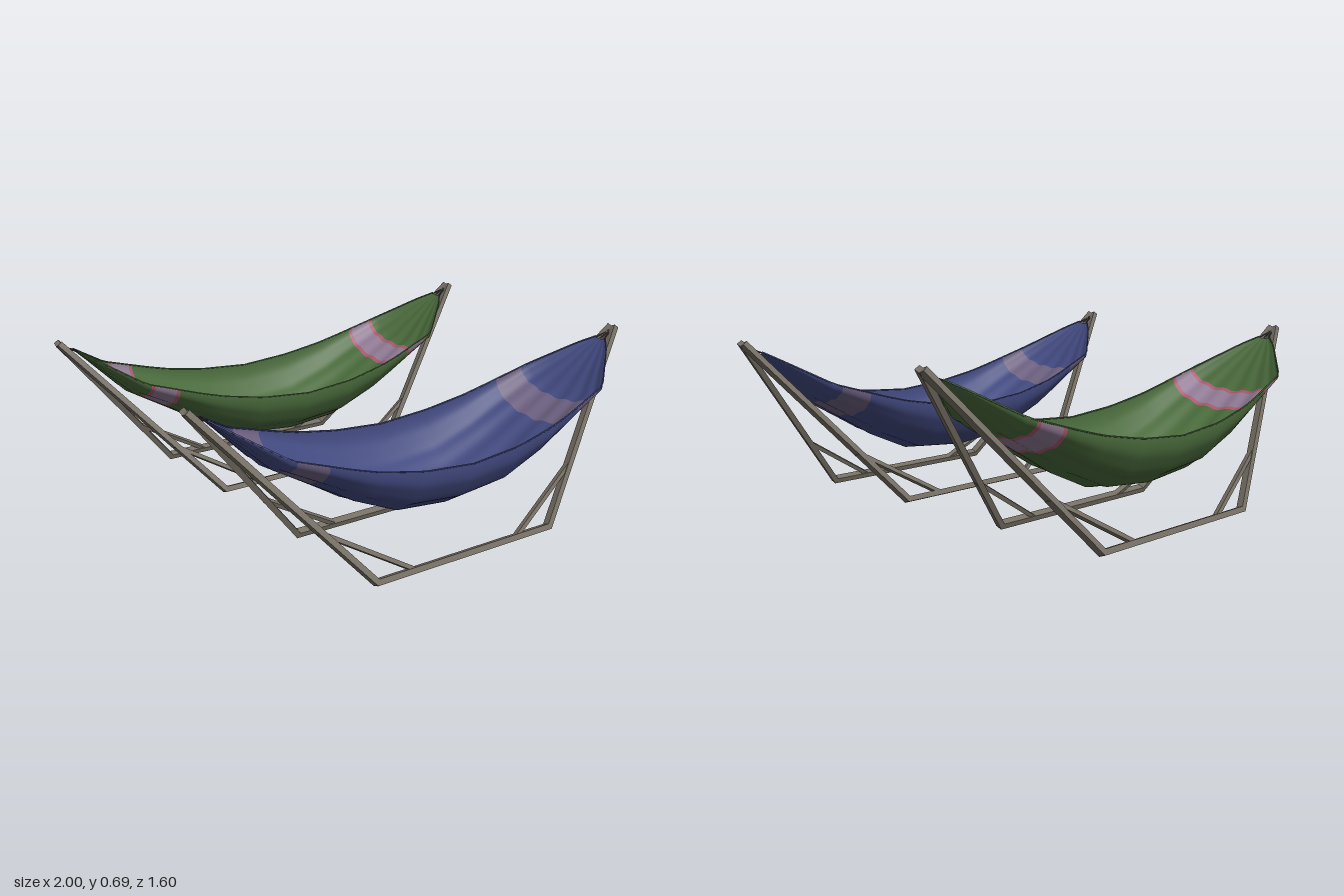
import * as THREE from 'three';

const mat = (name, color, side = THREE.FrontSide) => {
  const m = new THREE.MeshStandardMaterial({ color, side });
  m.name = name;
  return m;
};

// Cloth stations: |x|, half width, rim height, belly height
const STATIONS = [
  [0, 0.272, 0.37, 0.155], [0.22, 0.267, 0.387, 0.175], [0.4, 0.252, 0.42, 0.255],
  [0.5, 0.24, 0.447, 0.315], [0.72, 0.205, 0.515, 0.442], [0.87, 0.08, 0.608, 0.587],
  [0.92, 0.025, 0.64, 0.632],
];

function section(x) {
  const a = Math.abs(x);
  let i = 0;
  while (i < STATIONS.length - 2 && a > STATIONS[i + 1][0]) i++;
  const p = STATIONS[i], q = STATIONS[i + 1];
  const t = (a - p[0]) / (q[0] - p[0]);
  return [1, 2, 3].map(k => p[k] + (q[k] - p[k]) * t);
}

// Rows along x; the third value is the material used up to the next row
const ROWS = [
  [-0.92, 0], [-0.87, 0], [-0.79, 0], [-0.72, 0], [-0.70, 1], [-0.685, 2], [-0.6, 1], [-0.585, 0],
  [-0.5, 0], [-0.4, 0], [-0.22, 0], [-0.1, 0], [0, 0], [0.1, 0], [0.22, 0], [0.4, 0], [0.5, 0],
  [0.565, 1], [0.58, 2], [0.67, 1], [0.685, 0], [0.72, 0], [0.79, 0], [0.87, 0], [0.92, 0],
];

function clothGeometry() {
  const cols = 48, pos = [], index = [];
  const geo = new THREE.BufferGeometry();
  for (const [x] of ROWS) {
    const [half, rim, belly] = section(x);
    for (let j = 0; j <= cols; j++) {
      const a = Math.PI * (1 - j / cols);
      // shallow lengthwise folds in the belly
      const fold = 0.02 * half * Math.cos(14 * a) * Math.sin(a);
      pos.push(x, rim - (rim - belly) * Math.sin(a) + fold, half * Math.cos(a));
    }
  }
  for (let i = 0; i < ROWS.length - 1; i++) {
    geo.addGroup(index.length, cols * 6, ROWS[i][1]);
    for (let j = 0; j < cols; j++) {
      const a = i * (cols + 1) + j, c = a + cols + 1;
      index.push(a, a + 1, c, a + 1, c + 1, c);
    }
  }
  geo.setAttribute('position', new THREE.Float32BufferAttribute(pos, 3));
  geo.setIndex(index);
  geo.computeVertexNormals();
  return geo;
}

// Flat bar between two points of a side frame
function bar(name, x0, y0, x1, y1, height, depth, material) {
  const mesh = new THREE.Mesh(
    new THREE.BoxGeometry(Math.hypot(x1 - x0, y1 - y0), height, depth), material);
  mesh.position.set((x0 + x1) / 2, (y0 + y1) / 2, 0);
  mesh.rotation.z = Math.atan2(y1 - y0, x1 - x0);
  mesh.name = name;
  return mesh;
}

// Round cord or pin between two points
function rod(name, a, b, radius, material) {
  const mesh = new THREE.Mesh(
    new THREE.TubeGeometry(new THREE.LineCurve3(a, b), 1, radius, 8), material);
  mesh.name = name;
  return mesh;
}

function sideFrame(side, metal) {
  const g = new THREE.Group();
  g.name = side > 0 ? 'frontSideFrame' : 'backSideFrame';
  g.add(bar('groundBar', -0.418, 0, 0.418, 0, 0.022, 0.03, metal));
  for (const s of [-1, 1]) {
    g.add(bar('leg', s * 0.41, -0.002, s * 0.989, 0.704, 0.022, 0.03, metal));
    g.add(bar('brace', s * 0.24, 0, s * 0.6, 0.222, 0.016, 0.022, metal));
  }
  // lean the frame in so both sides meet at the top
  g.position.set(0, 0.0155, side * 0.252);
  g.rotation.x = -side * 0.356;
  return g;
}

function hammock(name, z, clothMats, metal, cord) {
  const g = new THREE.Group();
  g.name = name;
  g.add(sideFrame(1, metal), sideFrame(-1, metal));

  const cloth = new THREE.Mesh(clothGeometry(), clothMats);
  cloth.name = 'cloth';
  g.add(cloth);

  // hems along both rims
  for (const s of [-1, 1]) {
    const path = new THREE.CurvePath();
    const pts = ROWS.map(([x]) => {
      const [half, rim] = section(x);
      return new THREE.Vector3(x, rim, s * half);
    });
    for (let i = 1; i < pts.length; i++) path.add(new THREE.LineCurve3(pts[i - 1], pts[i]));
    const hem = new THREE.Mesh(new THREE.TubeGeometry(path, 60, 0.003, 6), clothMats[0]);
    hem.name = 'hem';
    g.add(hem);
  }

  // pins and hanging cords at both ends
  for (const s of [-1, 1]) {
    const x = s * 0.968, y = 0.658;
    g.add(rod('pin', new THREE.Vector3(x, y, -0.025), new THREE.Vector3(x, y, 0.025), 0.006, cord));
    for (const k of [-1, 0, 1]) {
      g.add(rod('cord', new THREE.Vector3(x, y, k * 0.006),
        new THREE.Vector3(s * 0.915, 0.636, k * 0.022), 0.0025, cord));
    }
  }
  g.position.z = z;
  return g;
}

export function createModel() {
  const D = THREE.DoubleSide;
  const blue = mat('blue cloth', 0x424a80, D);
  const green = mat('green cloth', 0x4a6b3c, D);
  const mauve = mat('mauve stripe', 0x6c6080, D);
  const pink = mat('pink stripe edge', 0xa8586c, D);
  const lilac = mat('lilac stripe', 0x907a94, D);
  const metal = mat('grey brown frame', 0x766f64);
  const cord = mat('dark cord', 0x3c3a38);

  const model = new THREE.Group();
  model.name = 'hammocks';
  model.add(hammock('frontHammock', 0.525, [blue, mauve, mauve], metal, cord));
  model.add(hammock('backHammock', -0.525, [green, pink, lilac], metal, cord));
  return model;
}
